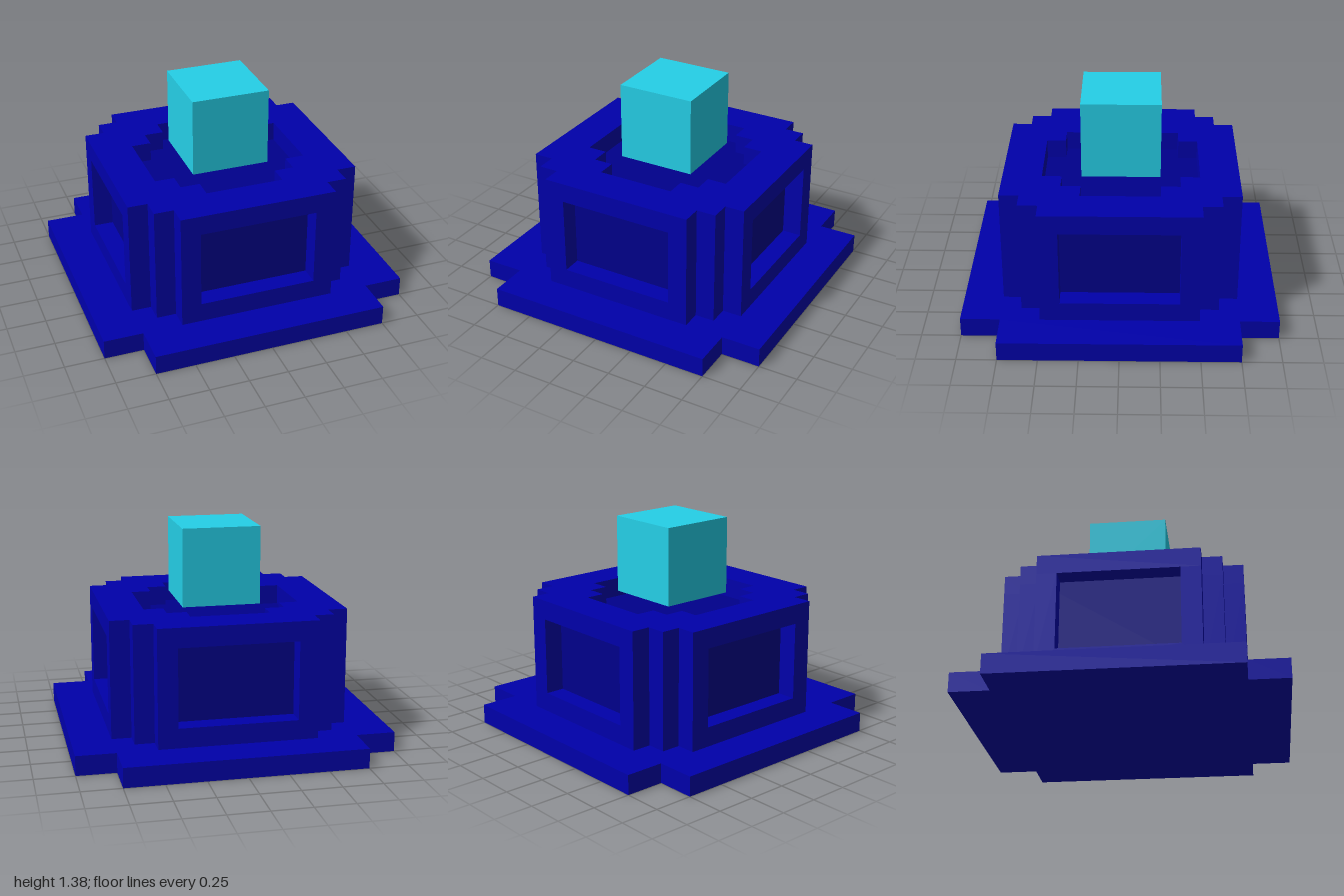
import * as THREE from 'three';

const blue = new THREE.MeshStandardMaterial({ name: 'blue', color: 0x0000aa });
const darkBlue = new THREE.MeshStandardMaterial({ name: 'darkBlue', color: 0x00008b });
const cyan = new THREE.MeshStandardMaterial({ name: 'cyan', color: 0x25cfe7 });

// Repeats one stepped corner by quarter turns into a closed outline
function outline(corner) {
  const points = [];
  for (let i = 0; i < 4; i++) {
    for (const [x, y] of corner) {
      const p = [[x, y], [-y, x], [-x, -y], [y, -x]][i];
      points.push(new THREE.Vector2(p[0], p[1]));
    }
  }
  return points;
}

// Raises a plan shape from y0 to y1
function slab(name, shape, y0, y1, material) {
  const geometry = new THREE.ExtrudeGeometry(shape, { depth: y1 - y0, bevelEnabled: false });
  geometry.rotateX(-Math.PI / 2).translate(0, y0, 0);
  const mesh = new THREE.Mesh(geometry, material);
  mesh.name = name;
  return mesh;
}

function box(name, w, h, d, x, y, z, material) {
  const mesh = new THREE.Mesh(new THREE.BoxGeometry(w, h, d), material);
  mesh.position.set(x, y, z);
  mesh.name = name;
  return mesh;
}

export function createModel() {
  const model = new THREE.Group();
  model.name = 'pedestalLamp';

  // Base plate with notched corners
  const baseShape = new THREE.Shape(outline([[1, 0.75], [0.75, 0.75], [0.75, 1]]));
  model.add(slab('basePlate', baseShape, 0, 0.125, blue));

  // Dark core, seen in the side recesses and as the floor of the top opening
  const coreShape = new THREE.Shape(outline([[0.625, 0.5], [0.5, 0.5], [0.5, 0.625]]));
  model.add(slab('core', coreShape, 0.125, 0.75, darkBlue));

  // Top rim with a stepped opening
  const rimShape = new THREE.Shape(
    outline([[0.75, 0.5], [0.625, 0.5], [0.625, 0.625], [0.5, 0.625], [0.5, 0.75]]));
  rimShape.holes.push(new THREE.Path(
    outline([[0.5, 0.25], [0.375, 0.25], [0.375, 0.375], [0.25, 0.375], [0.25, 0.5]])));
  model.add(slab('topRim', rimShape, 0.75, 0.875, blue));

  // Four sides: a U-shaped frame around each recess, and a corner post
  const frameShape = new THREE.Shape([
    [-0.5, 0.125], [0.5, 0.125], [0.5, 0.75], [0.375, 0.75],
    [0.375, 0.25], [-0.375, 0.25], [-0.375, 0.75], [-0.5, 0.75],
  ].map(([x, y]) => new THREE.Vector2(x, y)));
  const frameGeometry = new THREE.ExtrudeGeometry(frameShape, { depth: 0.125, bevelEnabled: false });
  frameGeometry.translate(0, 0, 0.625);
  for (let i = 0; i < 4; i++) {
    const side = new THREE.Group();
    side.name = 'side';
    const frame = new THREE.Mesh(frameGeometry, blue);
    frame.name = 'recessFrame';
    side.add(frame, box('cornerPost', 0.125, 0.625, 0.125, 0.5625, 0.4375, 0.5625, blue));
    side.rotation.y = i * Math.PI / 2;
    model.add(side);
  }

  // Glowing cube hovering above the opening
  model.add(box('cube', 0.5, 0.5, 0.5, 0, 1.125, 0, cyan));

  return model;
}
